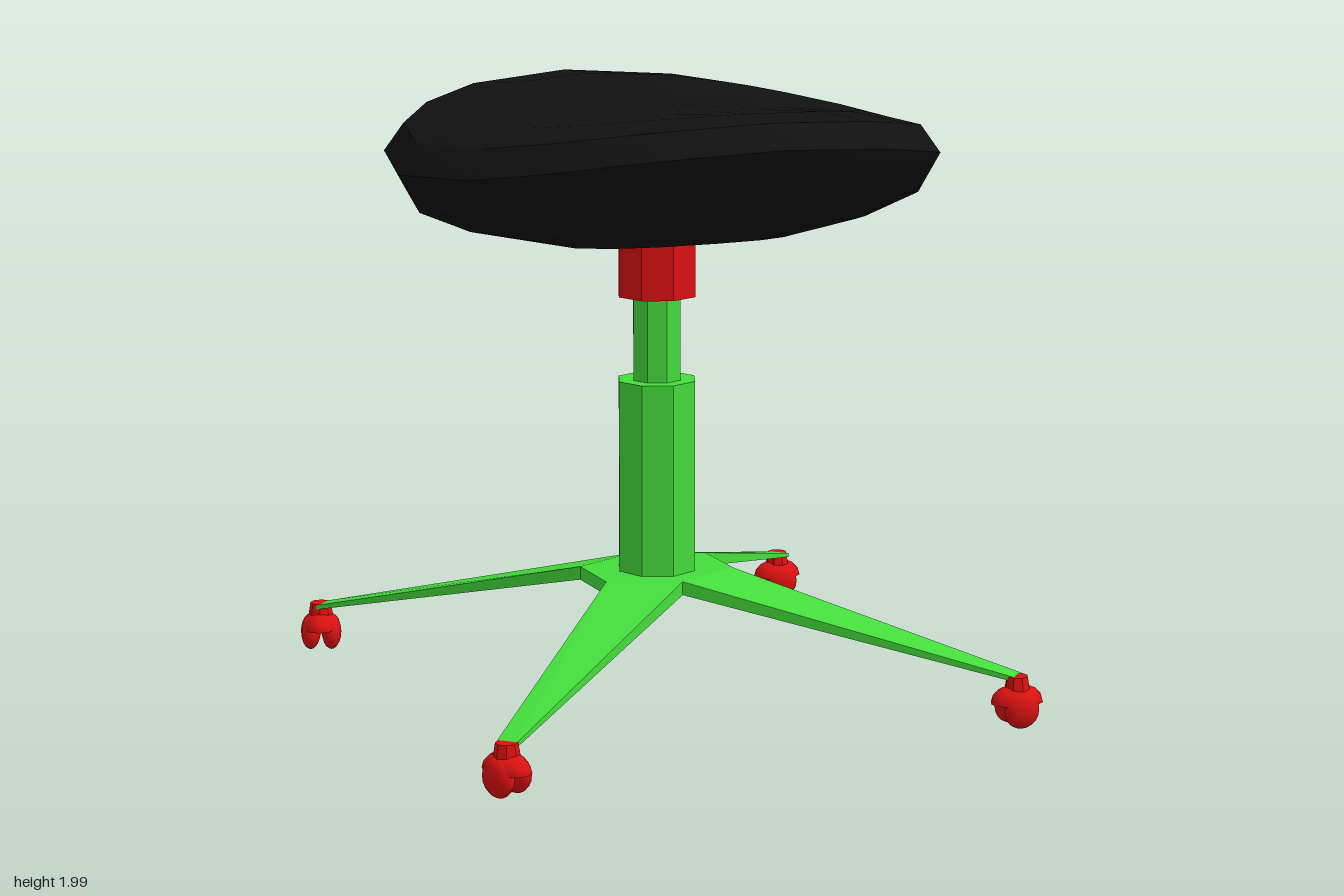
import * as THREE from 'three';
import { toCreasedNormals } from 'three/addons/utils/BufferGeometryUtils.js';
import { ConvexGeometry } from 'three/addons/geometries/ConvexGeometry.js';

const material = (color, extra = {}) => new THREE.MeshStandardMaterial({ color, ...extra });
const black = material(0x111111);
const green = material(0x44dd3c, { flatShading: true });
const red = material(0xdd1111, { flatShading: true });
const redSmooth = material(0xdd1111);
const redShell = material(0xdd1111, { side: THREE.DoubleSide });

const CX = -0.005; // column axis

function addMesh(parent, name, geometry, mat, x = 0, y = 0, z = 0) {
  const mesh = new THREE.Mesh(geometry, mat);
  mesh.name = name;
  mesh.position.set(x, y, z);
  parent.add(mesh);
  return mesh;
}

// Octagonal upright with an edge facing the front
function addPost(parent, name, mat, radius, y0, y1) {
  const geometry = new THREE.CylinderGeometry(radius, radius, y1 - y0, 8);
  addMesh(parent, name, geometry, mat, CX, (y0 + y1) / 2, 0);
}

// Round cushion, bent upward at front and back
function seatGeometry() {
  const profile = [
    [0, 1.513], [0.15, 1.515], [0.42, 1.528], [0.66, 1.578], [0.83, 1.65],
    [0.9, 1.775],
    [0.835, 1.87], [0.64, 1.925], [0.4, 1.948], [0, 1.955],
  ].map(([r, y]) => new THREE.Vector2(r, y));
  const geometry = new THREE.LatheGeometry(profile, 16);
  const p = geometry.attributes.position;
  for (let i = 0; i < p.count; i++) {
    const r = Math.hypot(p.getX(i), p.getZ(i));
    let a = Math.atan2(p.getX(i), p.getZ(i));
    a += 0.06 * Math.sin(4 * a); // draws the corners toward the diagonals
    const z = 0.99 * r * Math.cos(a);
    p.setXYZ(i, 1.008 * r * Math.sin(a), p.getY(i) + 0.17 * z * z, z);
  }
  return toCreasedNormals(geometry, 0.7);
}

// Tapered leg from the hub edge to the caster; sx and sz pick the corner
function legGeometry(sx, sz) {
  const outline = [
    [0, 0.21, 0.365, 0.41], [0.23, 0.11, 0.365, 0.41], // hub end
    [0.91, 0.86, 0.15, 0.165], [0.865, 0.905, 0.15, 0.165], // caster end
  ];
  const points = outline.flatMap(([x, z, y0, y1]) =>
    [y0, y1].map((y) => new THREE.Vector3(sx * x, y, sz * z)));
  return new ConvexGeometry(points);
}

// Six-sided plate joining the legs
function hubGeometry() {
  const corners = [[0, 0.21], [0.23, 0.11], [0.23, -0.11], [0, -0.21], [-0.23, -0.11], [-0.23, 0.11]];
  return new ConvexGeometry(corners.flatMap(([x, z]) =>
    [0.365, 0.41].map((y) => new THREE.Vector3(x, y, z))));
}

// Swivel stem, hood and twin wheels, rolling along local z
function createCaster() {
  const caster = new THREE.Group();
  addMesh(caster, 'casterStem', new THREE.CylinderGeometry(0.035, 0.045, 0.06, 8), red, 0, 0.138, 0);
  const hood = new THREE.SphereGeometry(1, 12, 4, 0, Math.PI * 2, 0, Math.PI / 2);
  addMesh(caster, 'casterHood', hood, redShell, 0, 0.08, 0).scale.set(0.062, 0.06, 0.09);
  for (const side of [-1, 1]) {
    const wheel = new THREE.SphereGeometry(1, 12, 10);
    addMesh(caster, 'casterWheel', wheel, redSmooth, side * 0.036, 0.064, 0).scale.set(0.034, 0.062, 0.062);
  }
  return caster;
}

export function createModel() {
  const model = new THREE.Group();
  model.name = 'swivelStool';

  addMesh(model, 'seat', seatGeometry(), black, 0.012, 0, 0);
  addPost(model, 'seatMount', red, 0.135, 1.33, 1.53);
  addPost(model, 'upperPost', green, 0.083, 1.04, 1.34);
  addPost(model, 'lowerColumn', green, 0.135, 0.4, 1.05);
  addMesh(model, 'hub', hubGeometry(), green, CX, 0, 0);

  for (const sx of [-1, 1]) {
    for (const sz of [-1, 1]) {
      addMesh(model, 'leg', legGeometry(sx, sz), green, CX, 0, 0);
      const caster = createCaster();
      caster.name = 'caster';
      caster.position.set(sx > 0 ? 0.87 : -0.89, 0, sz * 0.885);
      // the casters on one side are swivelled forward, on the other sideways
      caster.rotation.y = sx > 0 ? Math.PI / 2 - sz * 0.05 : sz * 0.4;
      model.add(caster);
    }
  }
  return model;
}
